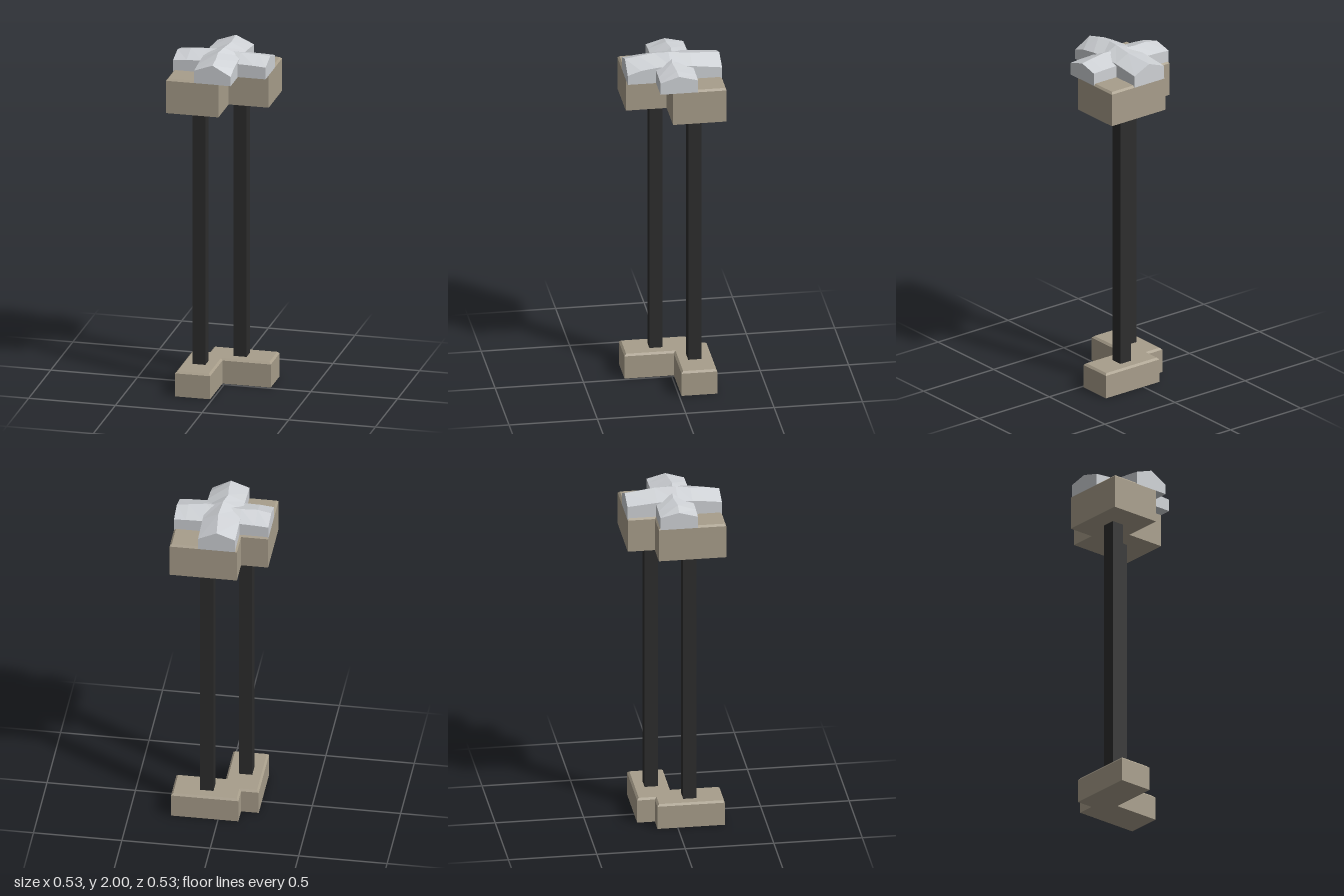
import * as THREE from 'three';

const material = (name, color) => {
  const m = new THREE.MeshStandardMaterial({ color });
  m.name = name;
  return m;
};

// Prism over an [x, z] outline, with a small chamfer around the top only
function chamferedSlab(outline, y0, y1, b = 0.011) {
  const shape = new THREE.Shape(outline.map(([x, z]) => new THREE.Vector2(x, -z)));
  const g = new THREE.ExtrudeGeometry(shape, {
    depth: y1 - y0 - b, bevelEnabled: true, bevelSegments: 1,
    bevelSize: b, bevelThickness: b, bevelOffset: -b,
  });
  const p = g.attributes.position;
  for (let i = 0; i < p.count; i++) if (p.getZ(i) < 0) p.setZ(i, 0);
  g.rotateX(-Math.PI / 2);
  g.translate(0, y0, 0);
  g.computeVertexNormals();
  return g;
}

// Outline of two overlapping blocks set diagonally
const steppedOutline = (lo, back, inner, hi) => [
  [lo, hi], [inner, hi], [inner, inner], [hi, inner],
  [hi, lo], [back, lo], [back, back], [lo, back],
];

// Faceted ridged bar along z; stations are [z, ridge offset, ridge y, left edge y, right edge y]
function ridgedBar(stations, halfWidth, bottom) {
  const rings = stations.map(([t, off, ridge, left, right]) => [
    [-halfWidth, bottom, t], [halfWidth, bottom, t],
    [halfWidth, right, t], [off, ridge, t], [-halfWidth, left, t],
  ]);
  const out = [];
  const tri = (a, b, c) => out.push(...a, ...b, ...c);
  for (let s = 0; s < rings.length - 1; s++) {
    const a = rings[s], b = rings[s + 1];
    for (let i = 0; i < 5; i++) {
      const j = (i + 1) % 5;
      tri(a[i], a[j], b[j]);
      tri(a[i], b[j], b[i]);
    }
  }
  const first = rings[0], last = rings[rings.length - 1];
  for (let i = 1; i < 4; i++) {
    tri(first[0], first[i + 1], first[i]);
    tri(last[0], last[i], last[i + 1]);
  }
  const g = new THREE.BufferGeometry();
  g.setAttribute('position', new THREE.Float32BufferAttribute(out, 3));
  g.computeVertexNormals();
  return g;
}

export function createModel() {
  const stone = material('stone', 0xa89e8b);
  const darkMetal = material('dark metal', 0x2d2d2d);
  const paleGrey = material('pale grey', 0xcfd2d6);

  const group = new THREE.Group();
  const add = (name, geometry, mat) => {
    const mesh = new THREE.Mesh(geometry, mat);
    mesh.name = name;
    group.add(mesh);
    return mesh;
  };

  // Stepped foot and cap
  add('base', chamferedSlab(steppedOutline(-0.215, -0.115, -0.013, 0.266), 0, 0.147), stone);
  add('cap', chamferedSlab(steppedOutline(-0.268, -0.115, 0.035, 0.266), 1.67, 1.872), stone);

  // Two square posts on the diagonal
  [['leftPost', 0.073, -0.113], ['rightPost', -0.117, 0.077]].forEach(([name, x, z]) => {
    add(name, new THREE.BoxGeometry(0.075, 1.56, 0.075), darkMetal).position.set(x, 0.91, z);
  });

  // Crossed ridged bars on top
  add('longRoofBar', ridgedBar([
    [-0.268, 0, 1.978, 1.94, 1.93],
    [-0.1, 0.016, 1.993, 1.955, 1.95],
    [0.02, 0.006, 2.0, 1.958, 1.957],
    [0.1, -0.01, 1.993, 1.953, 1.953],
    [0.19, 0, 1.985, 1.945, 1.94],
    [0.266, 0, 1.973, 1.935, 1.915],
  ], 0.105, 1.86), paleGrey);

  const crossBar = ridgedBar([
    [-0.268, 0, 1.96, 1.93, 1.935],
    [-0.19, -0.004, 1.973, 1.938, 1.94],
    [-0.1, 0.01, 1.978, 1.94, 1.943],
    [0, 0, 1.981, 1.942, 1.942],
    [0.1, -0.015, 1.977, 1.938, 1.94],
    [0.2, -0.004, 1.97, 1.935, 1.938],
    [0.266, 0, 1.963, 1.93, 1.935],
  ], 0.106, 1.861);
  crossBar.rotateY(Math.PI / 2);
  add('crossRoofBar', crossBar, paleGrey);

  return group;
}
